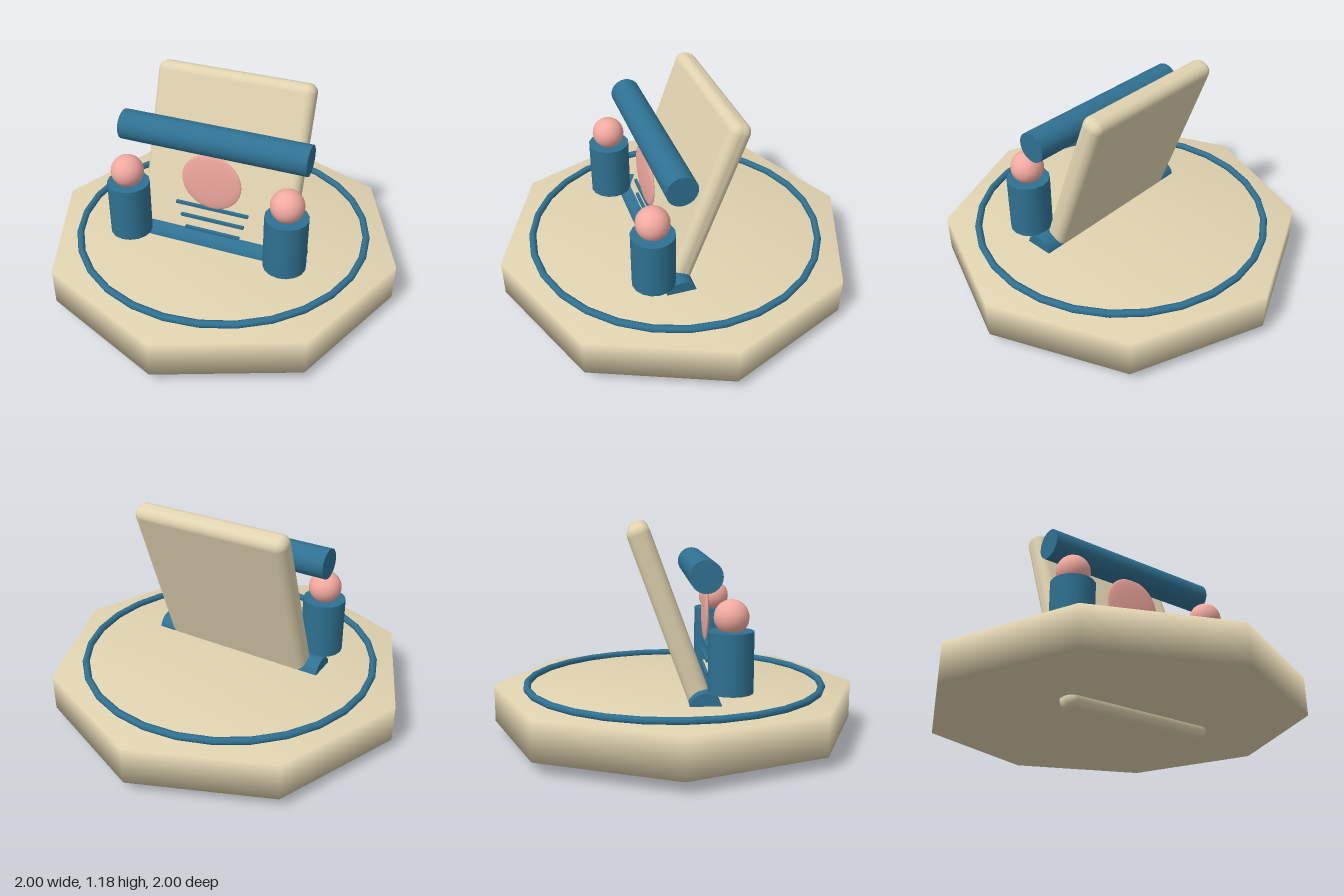
import * as THREE from 'three';
import { RoundedBoxGeometry } from 'three/addons/geometries/RoundedBoxGeometry.js';

const material = (color, side = THREE.FrontSide) => new THREE.MeshStandardMaterial({ color, side });

export function createModel() {
  const cream = material(0xe0d3b0);
  const blue = material(0x2f7192);
  const pink = material(0xf2aaa0);

  const model = new THREE.Group();
  model.name = 'model';
  // Everything is turned slightly about the vertical axis
  const body = new THREE.Group();
  body.name = 'body';
  body.rotation.y = -0.12;
  model.add(body);

  const add = (name, geometry, mat, x, y, z) => {
    const mesh = new THREE.Mesh(geometry, mat);
    mesh.name = name;
    mesh.position.set(x, y, z);
    body.add(mesh);
    return mesh;
  };

  // Eight-sided base slab with soft shading across its rims
  const profile = [[0, 0.065], [1.007, 0.065], [1.007, 0.275], [0, 0.275]]
    .map(([r, y]) => new THREE.Vector2(r, y));
  add('base', new THREE.LatheGeometry(profile, 8), cream, 0, 0, 0);

  // Ring lying on the base
  const ring = add('baseRing', new THREE.TorusGeometry(0.82, 0.02, 8, 28), blue, 0, 0.288, 0);
  ring.rotation.x = Math.PI / 2;

  // Leaning back panel that passes through the base
  const panel = add('backPanel', new RoundedBoxGeometry(0.9, 1.24, 0.12, 4, 0.05), cream, 0, 0.59, 0);
  panel.rotation.x = -0.35;

  // Horizontal rollers: one above, one half sunk into the base
  for (const [name, y] of [['topRoller', 0.923], ['bottomRoller', 0.258]]) {
    const roller = add(name, new THREE.CylinderGeometry(0.083, 0.083, 1.05, 24), blue, 0, y, 0.133);
    roller.rotation.z = Math.PI / 2;
  }

  // Pair of posts with ball tops
  for (const [side, s] of [['left', 1], ['right', -1]]) {
    add(side + 'Post', new THREE.CylinderGeometry(0.117, 0.117, 0.315, 16), blue, s * 0.453, 0.488, 0.265);
    add(side + 'Ball', new THREE.SphereGeometry(0.09, 24, 16), pink, s * 0.453, 0.715, 0.265);
  }

  // Flattened disc in front of the panel
  const disc = add('disc', new THREE.SphereGeometry(0.17, 32, 20), pink, 0, 0.69, 0.172);
  disc.scale.z = 0.1;

  // Three thin bars below the disc, shortening downwards
  [0.42, 0.37, 0.32].forEach((length, i) => {
    add('bar' + (i + 1), new THREE.BoxGeometry(length, 0.016, 0.016), blue, 0, 0.515 - i * 0.08, 0.172);
  });

  return model;
}
